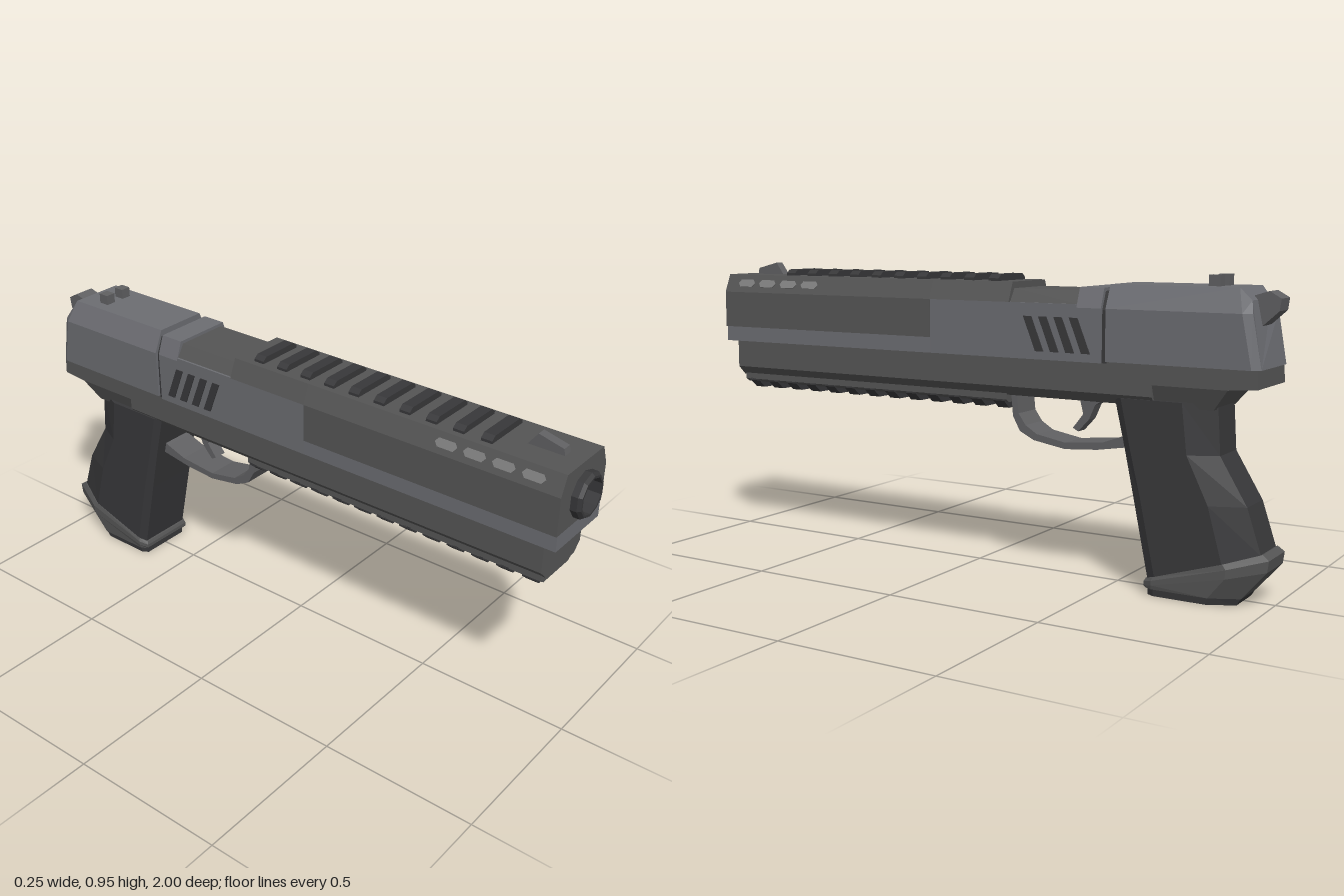
import * as THREE from 'three';

const mat = (color) => new THREE.MeshStandardMaterial({ color, flatShading: true, side: THREE.DoubleSide });

export function createModel() {
  const model = new THREE.Group();
  const dark = mat(0x555555), light = mat(0x6c6d72), black = mat(0x38383a), steel = mat(0x606062), pale = mat(0x808080);

  const add = (name, geometry, material) => {
    const mesh = new THREE.Mesh(geometry, material);
    mesh.name = name;
    model.add(mesh);
    return mesh;
  };

  // Skin a row of convex rings and cap both ends; faces are turned outward
  const loft = (rings) => {
    const tris = [], n = rings[0].length;
    for (let r = 0; r < rings.length - 1; r++) {
      const a = rings[r], b = rings[r + 1];
      for (let i = 0; i < n; i++) {
        const j = (i + 1) % n;
        tris.push([a[i], a[j], b[j]], [a[i], b[j], b[i]]);
      }
    }
    const first = rings[0], last = rings[rings.length - 1];
    for (let i = 1; i < n - 1; i++) {
      tris.push([first[0], first[i + 1], first[i]], [last[0], last[i], last[i + 1]]);
    }
    const v = tris.map((t) => t.map((p) => new THREE.Vector3(...p)));
    const volume = v.reduce((s, [a, b, c]) => s + a.dot(b.clone().cross(c)), 0);
    const pos = v.flatMap(([a, b, c]) => (volume < 0 ? [a, c, b] : [a, b, c])).flatMap((p) => p.toArray());
    const g = new THREE.BufferGeometry();
    g.setAttribute('position', new THREE.Float32BufferAttribute(pos, 3));
    g.computeVertexNormals();
    return g;
  };

  // Mirror a right-hand half section [x, y] into a closed outline
  const mirrored = (half) => [...half, ...half.map(([x, y]) => [-x, y]).reverse()];
  const prism = (half, z0, z1) => loft([z0, z1].map((z) => mirrored(half).map(([x, y]) => [x, y, z])));

  // Side outline [z, y] given a thickness across x
  const slab = (pts, halfWidth) => {
    const shape = new THREE.Shape(pts.map(([z, y]) => new THREE.Vector2(-z, y)));
    const g = new THREE.ExtrudeGeometry(shape, { depth: halfWidth * 2, bevelEnabled: false });
    return g.rotateY(Math.PI / 2).translate(-halfWidth, 0, 0);
  };

  // Front shroud, bored for the barrel
  const shroud = new THREE.Shape(
    mirrored([[0.125, 0.73], [0.125, 0.85], [0.1, 0.91]]).map((p) => new THREE.Vector2(...p)));
  const bore = new THREE.Path();
  bore.absarc(0, 0.81, 0.066, 0, Math.PI * 2, true);
  shroud.holes.push(bore);
  add('frontShroud', new THREE.ExtrudeGeometry(shroud, { depth: 0.86, bevelEnabled: false, curveSegments: 5 })
    .translate(0, 0, 0.11), dark);
  add('shroudRear', prism([[0.125, 0.85], [0.1, 0.91]], -0.18, 0.11), dark);

  // Barrel with a hollow muzzle
  const barrel = [[0, 0.75], [0.055, 0.75], [0.055, 1], [0.062, 1], [0.07, 0.99], [0.07, 0.75]];
  add('barrel', new THREE.LatheGeometry(barrel.map((p) => new THREE.Vector2(...p)), 10)
    .rotateX(Math.PI / 2).translate(0, 0.81, 0), black);

  // Slide
  add('slideLowerStrip', prism([[0.12, 0.68], [0.12, 0.73]], 0.11, 0.97), light);
  add('slideBody', prism([[0.12, 0.68], [0.122, 0.85]], -0.41, 0.11), light);
  add('ejectionCover', prism([[0.115, 0.85], [0.09, 0.89]], -0.41, -0.18), dark);
  add('slideCollar', prism([[0.12, 0.68], [0.122, 0.84], [0.1, 0.9]], -0.49, -0.41), light);
  add('slideGroove', prism([[0.112, 0.68], [0.112, 0.835], [0.09, 0.89]], -0.505, -0.49), black);
  const rearHalf = [[0.12, 0.685], [0.122, 0.84], [0.09, 0.91]];
  const rearRing = (zs, sx = 1, drop = 0) => {
    const depth = [...zs, ...[...zs].reverse()];
    return mirrored(rearHalf).map(([x, y], i) => [x * sx, y > 0.9 ? y - drop : y, depth[i]]);
  };
  add('slideRear', loft([
    rearRing([-0.505, -0.505, -0.505]),
    rearRing([-0.95, -0.92, -0.9]),
    rearRing([-0.973, -0.945, -0.932], 0.86, 0.035),
  ]), light);

  // Slanted grip cuts and vents on both sides
  for (const side of [-1, 1]) {
    for (let i = 0; i < 4; i++) {
      const z = -0.23 - i * 0.052;
      add('slideSerration', slab([[z, 0.81], [z - 0.028, 0.81], [z - 0.07, 0.705], [z - 0.042, 0.705]], 0.003)
        .translate(side * 0.121, 0, 0), black);
      const vent = add('shroudVent', slab([[0.036, 0], [0.026, 0.013], [-0.026, 0.013],
        [-0.036, 0], [-0.026, -0.013], [0.026, -0.013]], 0.003), pale);
      vent.position.set(side * 0.1125, 0.88, 0.88 - i * 0.092);
      vent.rotation.z = side * 0.39;
    }
  }

  // Top ribs and sights
  for (let i = 0; i < 10; i++) {
    const z = 0.71 - i * 0.09;
    add('topRib', prism([[0.08, 0.905], [0.08, 0.918], [0.065, 0.93]], z - 0.018, z + 0.018), black);
  }
  add('frontSight', slab([[0.915, 0.905], [0.91, 0.93], [0.83, 0.95], [0.8, 0.91]], 0.015), steel);
  for (const x of [-0.035, 0.035]) {
    add('rearSight', new THREE.BoxGeometry(0.034, 0.04, 0.035).translate(x, 0.922, -0.81), steel);
  }
  add('hammer', slab([[-0.9, 0.88], [-0.965, 0.9], [-1, 0.88], [-0.995, 0.845], [-0.945, 0.8], [-0.9, 0.8]], 0.035), steel);

  // Frame, tail and lower rail
  add('frame', prism([[0.08, 0.56], [0.11, 0.59], [0.11, 0.685]], -0.65, 0.93), dark);
  const tail = [[0.11, 0.685, -0.965], [0.11, 0.632, -0.968], [0.11, 0.625, -0.88], [0.085, 0.562, -0.83]];
  add('frameTail', loft(tail.map(([x, y, z]) => [[x, y, -0.6], [x, y, z], [-x, y, z], [-x, y, -0.6]])), dark);
  add('lowerRail', prism([[0.07, 0.535], [0.085, 0.545], [0.085, 0.565]], -0.15, 0.92), dark);
  for (let i = 0; i < 13; i++) {
    const z = 0.88 - i * 0.0835;
    add('railTooth', prism([[0.055, 0.515], [0.085, 0.54], [0.085, 0.548]], z - 0.02, z + 0.02), black);
  }

  // Trigger guard and trigger
  add('triggerGuard', slab([
    [-0.148, 0.57], [-0.155, 0.49], [-0.18, 0.445], [-0.23, 0.42], [-0.34, 0.402], [-0.45, 0.41], [-0.57, 0.43],
    [-0.57, 0.475], [-0.54, 0.46], [-0.47, 0.435], [-0.34, 0.422], [-0.24, 0.44], [-0.2, 0.465], [-0.175, 0.5], [-0.168, 0.57],
  ], 0.053), steel);
  add('trigger', slab([[-0.37, 0.57], [-0.385, 0.51], [-0.35, 0.465], [-0.368, 0.455], [-0.405, 0.495],
    [-0.425, 0.54], [-0.47, 0.57]], 0.022), steel);

  // Grip: eight-sided sections, each from a front to a back point [z, y]
  const gripRing = ([front, back, w]) => {
    const half = [[0.88, 0], [1, 0.08], [1, 0.7], [0.6, 1]];
    const at = ([x, t], s) => [s * x * w, front[1] + (back[1] - front[1]) * t, front[0] + (back[0] - front[0]) * t];
    return [...half.map((p) => at(p, 1)), ...half.map((p) => at(p, -1)).reverse()];
  };
  add('grip', loft([
    [[-0.525, 0.58], [-0.835, 0.58], 0.105],
    [[-0.56, 0.43], [-0.845, 0.43], 0.105],
    [[-0.59, 0.29], [-0.93, 0.29], 0.105],
    [[-0.64, 0.05], [-0.975, 0.155], 0.105],
  ].map(gripRing)), black);
  add('gripBase', loft([
    [[-0.635, 0.05], [-0.98, 0.16], 0.106],
    [[-0.63, 0.04], [-1, 0.145], 0.111],
    [[-0.63, 0.028], [-0.995, 0.11], 0.111],
    [[-0.635, 0.022], [-0.92, 0.022], 0.108],
  ].map(gripRing)), dark);
  add('magazinePlate', loft([
    [[-0.64, 0.025], [-0.92, 0.025], 0.102],
    [[-0.64, 0], [-0.905, 0], 0.1],
  ].map(gripRing)), black);

  return model;
}
